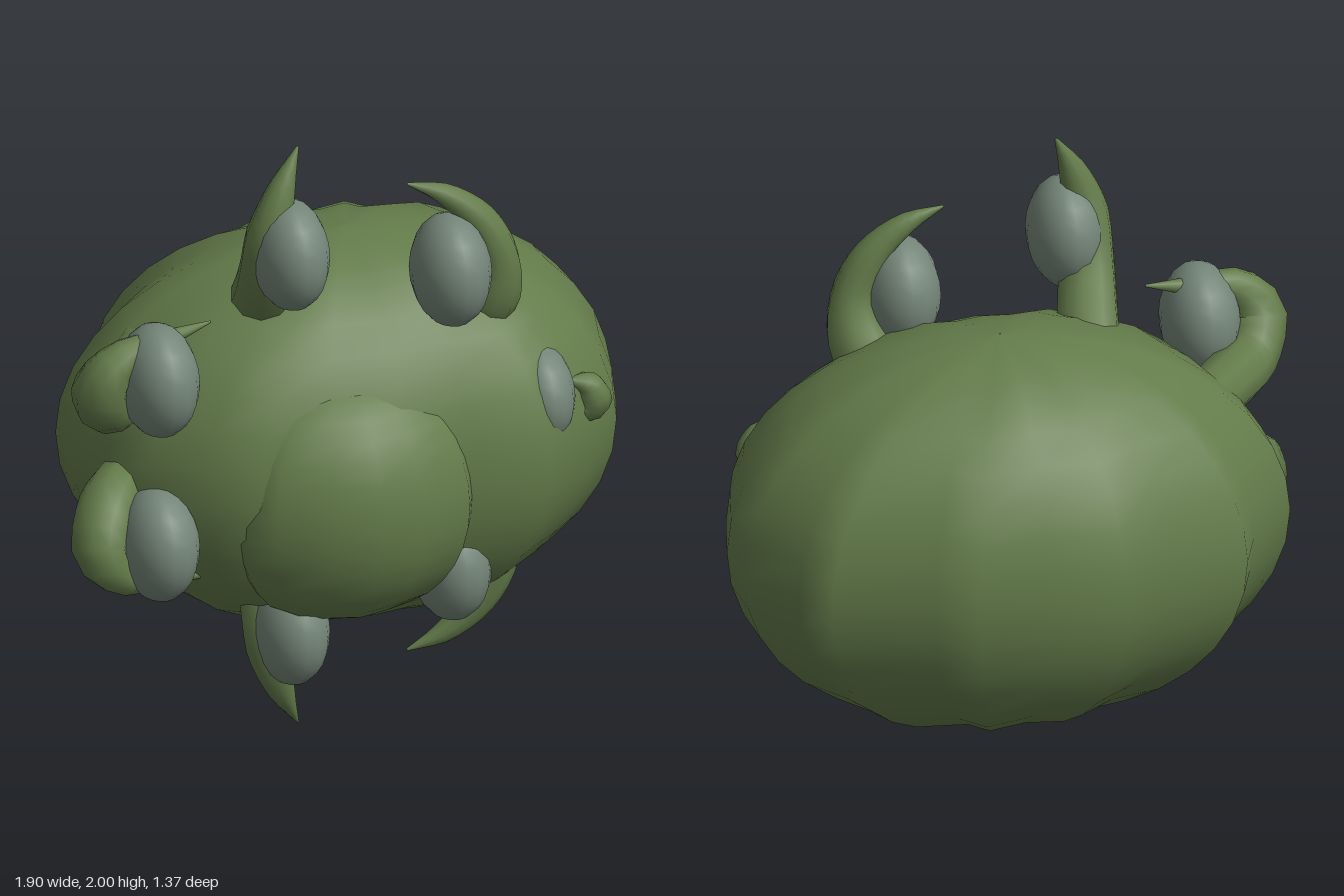
import * as THREE from 'three';

const green = new THREE.MeshStandardMaterial({ color: 0x637b4a });
green.name = 'moss green skin';
const grey = new THREE.MeshStandardMaterial({ color: 0x748578 });
grey.name = 'grey eyeball';

// Indexed surface from rings of points, closed around each ring
function loft(rings) {
  const n = rings[0].length, pos = [], idx = [];
  rings.forEach(r => r.forEach(p => pos.push(p.x, p.y, p.z)));
  for (let j = 0; j < rings.length - 1; j++) {
    for (let i = 0; i < n; i++) {
      const a = j * n + i, b = a + n, c = j * n + (i + 1) % n, d = c + n;
      idx.push(a, b, c, c, b, d);
    }
  }
  const g = new THREE.BufferGeometry();
  g.setAttribute('position', new THREE.Float32BufferAttribute(pos, 3));
  g.setIndex(idx);
  g.computeVertexNormals();
  return g;
}

// Scalloped ellipsoid: a horizontal outline shrunk toward an upper and a lower pole
function lobed(name, outline, centre, ry, fullness = 1, rows = 18) {
  const [cx, cy, cz] = centre, rings = [];
  for (let j = 0; j <= rows; j++) {
    const t = -Math.PI / 2 + (Math.PI * j) / rows;
    const s = Math.max(0.002, Math.pow(Math.max(0, Math.cos(t)), fullness));
    rings.push(outline.map(([x, z]) =>
      new THREE.Vector3(cx + (x - cx) * s, cy + ry * Math.sin(t), cz + (z - cz) * s)));
  }
  const m = new THREE.Mesh(loft(rings), green);
  m.name = name;
  return m;
}

// Tapered tube along a curve; each control point is x, y, z, radius
function taperedTube(points, steps = 20, sides = 10) {
  const curve = new THREE.CatmullRomCurve3(points.map(p => new THREE.Vector3(p[0], p[1], p[2])));
  const frames = curve.computeFrenetFrames(steps, false);
  const rings = [];
  for (let j = 0; j <= steps; j++) {
    const t = j / steps;
    const centre = curve.getPointAt(t);
    const k = curve.getUtoTmapping(t) * (points.length - 1);
    const i = Math.min(points.length - 2, Math.floor(k));
    const r = THREE.MathUtils.lerp(points[i][3], points[i + 1][3], k - i);
    const ring = [];
    for (let s = 0; s < sides; s++) {
      const a = (-s / sides) * Math.PI * 2;
      ring.push(centre.clone()
        .addScaledVector(frames.normals[j], -r * Math.cos(a))
        .addScaledVector(frames.binormals[j], r * Math.sin(a)));
    }
    rings.push(ring);
  }
  const g = loft(rings);
  // Turn the faces outward if the ring direction runs the other way
  const q = g.attributes.position, n = g.attributes.normal;
  const mid = Math.floor(steps / 2), c = curve.getPointAt(mid / steps), v = mid * sides;
  const out = new THREE.Vector3().fromBufferAttribute(q, v).sub(c);
  if (out.dot(new THREE.Vector3().fromBufferAttribute(n, v)) < 0) {
    const ix = g.index.array;
    for (let f = 0; f < ix.length; f += 3) [ix[f], ix[f + 1]] = [ix[f + 1], ix[f]];
    g.computeVertexNormals();
  }
  return g;
}

// Eye on a stalk that ends in a curved point
function eyeStalk(name, path, eye, radii, mirrored) {
  const flip = y => (mirrored ? 2 - y : y);
  const group = new THREE.Group();
  group.name = name;
  const stalk = new THREE.Mesh(taperedTube(path.map(([x, y, z, r]) => [x, flip(y), z, r])), green);
  stalk.name = 'stalk';
  const ball = new THREE.Mesh(new THREE.SphereGeometry(1, 16, 12), grey);
  ball.name = 'eyeball';
  ball.scale.set(...radii);
  ball.position.set(eye[0], flip(eye[1]), eye[2]);
  group.add(stalk, ball);
  return group;
}

export function createModel() {
  const model = new THREE.Group();
  model.name = 'eyeStalkCreature';

  // Ribbed, pumpkin-like body
  model.add(lobed('body', [
    [0.95, -0.03], [0.9, 0.17], [0.86, 0.29], [0.74, 0.4], [0.55, 0.555], [0.32, 0.53],
    [0.07, 0.57], [-0.18, 0.53], [-0.4, 0.54], [-0.54, 0.42], [-0.7, 0.32], [-0.77, 0.14],
    [-0.82, -0.05], [-0.82, -0.2], [-0.66, -0.36], [-0.6, -0.51], [-0.35, -0.56], [-0.17, -0.68],
    [0.07, -0.635], [0.31, -0.685], [0.42, -0.565], [0.74, -0.515], [0.81, -0.38], [0.94, -0.2],
  ], [0.07, 0.87, -0.03], 0.65));

  // Bulge on the front
  model.add(lobed('frontBulge', [
    [0.32, 0.3], [0.325, 0.47], [0.27, 0.59], [0.1, 0.65], [-0.05, 0.685], [-0.2, 0.645],
    [-0.37, 0.595], [-0.45, 0.48], [-0.46, 0.3], [-0.3, 0.1], [-0.06, 0.05], [0.15, 0.1],
  ], [-0.06, 0.8, 0.27], 0.43, 0.85));

  // Stalks come in upper and lower pairs
  const stalks = [
    ['RightStalk', [
      [-0.24, 1.26, 0.02, 0.1], [-0.26, 1.4, 0.14, 0.1], [-0.29, 1.55, 0.27, 0.09],
      [-0.3, 1.72, 0.33, 0.075], [-0.26, 1.87, 0.33, 0.045], [-0.2, 2.0, 0.31, 0.004],
    ], [-0.24, 1.65, 0.35], [0.12, 0.182, 0.165]],
    ['LeftStalk', [
      [0.36, 1.22, 0.16, 0.1], [0.44, 1.38, 0.29, 0.1], [0.45, 1.52, 0.33, 0.07],
      [0.39, 1.66, 0.33, 0.055], [0.28, 1.76, 0.32, 0.035], [0.16, 1.81, 0.31, 0.004],
    ], [0.29, 1.51, 0.35], [0.125, 0.185, 0.165]],
    ['SideStalk', [
      [-0.57, 1.2, -0.06, 0.09], [-0.68, 1.17, 0.1, 0.095], [-0.81, 1.18, 0.26, 0.095],
      [-0.86, 1.29, 0.34, 0.09], [-0.79, 1.38, 0.35, 0.06], [-0.65, 1.41, 0.33, 0.032],
      [-0.49, 1.44, 0.315, 0.004],
    ], [-0.675, 1.285, 0.35], [0.125, 0.185, 0.17]],
  ];
  for (const [name, path, eye, radii] of stalks) {
    model.add(eyeStalk('upper' + name, path, eye, radii, false));
    model.add(eyeStalk('lower' + name, path, eye, radii, true));
  }

  // Short curled stalk on the left, half sunk in the body
  model.add(eyeStalk('shortLeftStalk', [
    [0.62, 0.97, 0.24, 0.07], [0.71, 0.97, 0.33, 0.07], [0.755, 0.99, 0.37, 0.06],
    [0.73, 1.05, 0.38, 0.045], [0.67, 1.08, 0.39, 0.01],
  ], [0.575, 1.04, 0.36], [0.11, 0.165, 0.165], false));

  return model;
}
